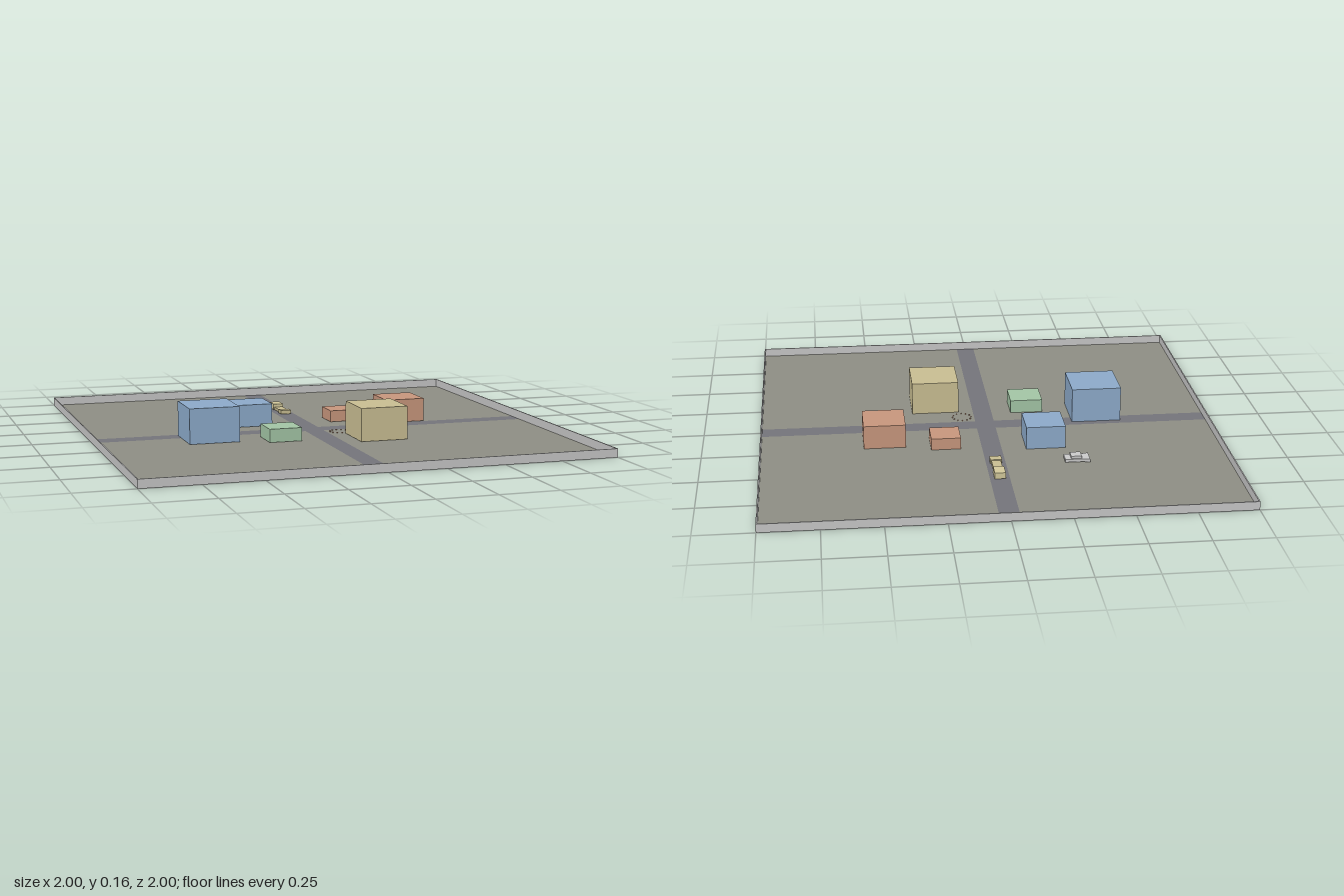
import * as THREE from 'three';

const mat = (name, color, side = THREE.FrontSide) => {
  const m = new THREE.MeshStandardMaterial({ color, side });
  m.name = name;
  return m;
};

export function createModel() {
  const root = new THREE.Group();
  root.name = 'townPlot';
  const ground = mat('ground olive grey', 0x8f8f85, THREE.DoubleSide);
  const road = mat('road grey', 0x75757b, THREE.DoubleSide);
  const wall = mat('wall grey', 0xc8c8c8);
  const blue = mat('blue', 0x8dabcb);
  const red = mat('terracotta', 0xc9977d);
  const yellow = mat('sand yellow', 0xcabf93);
  const green = mat('soft green', 0xa4c6a6);
  const white = mat('white', 0xcccccc);
  const cream = mat('cream', 0xd4ca9c);

  // Box given by its extents along each axis
  const box = (name, material, x0, x1, y0, y1, z0, z1, parent = root) => {
    const mesh = new THREE.Mesh(new THREE.BoxGeometry(x1 - x0, y1 - y0, z1 - z0), material);
    mesh.position.set((x0 + x1) / 2, (y0 + y1) / 2, (z0 + z1) / 2);
    mesh.name = name;
    parent.add(mesh);
    return mesh;
  };
  // Flat ground piece given by its extents
  const flat = (name, material, x0, x1, z0, z1) => {
    const mesh = new THREE.Mesh(new THREE.PlaneGeometry(x1 - x0, z1 - z0).rotateX(-Math.PI / 2), material);
    mesh.position.set((x0 + x1) / 2, 0, (z0 + z1) / 2);
    mesh.name = name;
    root.add(mesh);
  };

  // Four fields divided by crossing roads
  const r = 0.042;
  for (const [x0, x1] of [[-1, -r], [r, 1]]) {
    for (const [z0, z1] of [[-1, -r], [r, 1]]) flat('field', ground, x0, x1, z0, z1);
    flat('sideRoad', road, x0, x1, -r, r);
  }
  flat('mainRoad', road, -r, r, -1, 1);

  // Low boundary walls
  const t = 0.005, h = 0.037;
  for (const s of [-1, 1]) {
    const a = Math.min(s, s * (1 - t)), b = Math.max(s, s * (1 - t));
    box('endWall', wall, -1, 1, 0, h, a, b);
    box('sideWall', wall, a, b, 0, h, -1 + t, 1 - t);
  }

  // Buildings: x range, height, z range
  const buildings = [
    ['largeBlueBuilding', blue, -0.61, -0.39, 0.156, -0.013, 0.21],
    ['smallBlueBuilding', blue, -0.318, -0.147, 0.102, -0.3, -0.128],
    ['greenBuilding', green, -0.273, -0.128, 0.06, 0.123, 0.268],
    ['yellowBuilding', yellow, 0.108, 0.318, 0.147, 0.155, 0.368],
    ['largeRedBuilding', red, 0.37, 0.553, 0.106, -0.226, -0.042],
    ['smallRedBuilding', red, 0.134, 0.263, 0.053, -0.268, -0.139],
  ];
  for (const [name, m, x0, x1, top, z0, z1] of buildings) box(name, m, x0, x1, 0.002, top, z0, z1);

  // Long truck on the main road
  const truck = new THREE.Group();
  truck.name = 'truck';
  root.add(truck);
  box('truckBed', yellow, -0.02, 0.02, 0.004, 0.016, -0.54, -0.44, truck);
  box('truckNose', yellow, -0.025, 0.025, 0.003, 0.02, -0.44, -0.4, truck);
  box('truckCab', cream, -0.023, 0.023, 0.003, 0.03, -0.6, -0.53, truck);

  // Small parked car
  const car = new THREE.Group();
  car.name = 'car';
  root.add(car);
  box('carBody', white, -0.38, -0.294, 0.004, 0.017, -0.463, -0.404, car);
  box('carEnd', white, -0.4, -0.378, 0.003, 0.017, -0.468, -0.4, car);
  box('carCabin', white, -0.365, -0.32, 0.016, 0.028, -0.457, -0.41, car);

  // Ring of small marker studs beside the crossing
  const stud = new THREE.CylinderGeometry(0.003, 0.003, 0.004, 6);
  for (let i = 0; i < 12; i++) {
    const a = (i / 12) * Math.PI * 2;
    const m = new THREE.Mesh(stud, red);
    m.name = 'ringStud';
    m.position.set(0.098 + 0.042 * Math.cos(a), 0.002, 0.095 + 0.042 * Math.sin(a));
    root.add(m);
  }
  return root;
}
